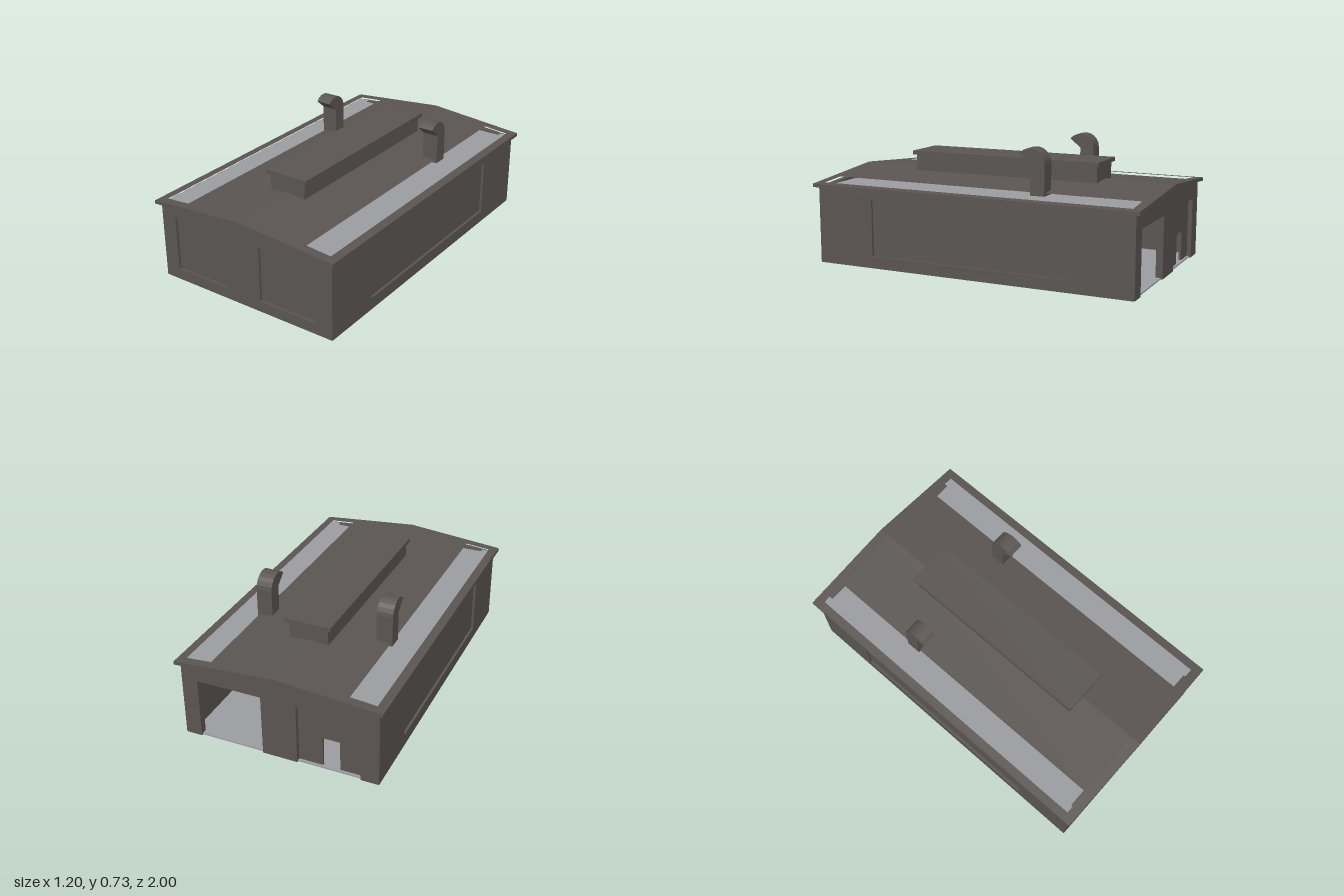
import * as THREE from 'three';

const shell = new THREE.MeshStandardMaterial({ color: 0x5a5552 });
shell.name = 'brown grey cladding';
const pale = new THREE.MeshStandardMaterial({ color: 0x9a9ca0 });
pale.name = 'pale grey';

const T = 0.04;               // wall thickness
const HX = 0.575, HZ = 0.967; // outer half sizes of the walls

function rect(path, x0, x1, y0, y1) {
  path.moveTo(x0, y0);
  path.lineTo(x1, y0);
  path.lineTo(x1, y1);
  path.lineTo(x0, y1);
  path.closePath();
  return path;
}

const extrude = (shape, depth) =>
  new THREE.ExtrudeGeometry(shape, { depth, bevelEnabled: false });

export function createModel() {
  const group = new THREE.Group();
  const add = (name, geometry, material, x = 0, y = 0, z = 0) => {
    const mesh = new THREE.Mesh(geometry, material);
    mesh.name = name;
    mesh.position.set(x, y, z);
    group.add(mesh);
    return mesh;
  };
  const box = (name, mat, x0, x1, y0, y1, z0, z1) =>
    add(name, new THREE.BoxGeometry(x1 - x0, y1 - y0, z1 - z0), mat,
      (x0 + x1) / 2, (y0 + y1) / 2, (z0 + z1) / 2);

  // Floor and flat ceiling, the ceiling showing through the roof lights
  box('floor', pale, -HX + 0.01, HX - 0.01, 0, 0.008, -HZ + 0.01, HZ - 0.01);
  box('ceiling', pale, -0.565, 0.565, 0.452, 0.458, -0.955, 0.955);

  // Front gable wall with two recessed panels
  const front = new THREE.Shape([[-HX, 0], [HX, 0], [HX, 0.452], [0, 0.5], [-HX, 0.452]]
    .map(p => new THREE.Vector2(...p)));
  for (const [a, b] of [[-0.48, -0.115], [0.105, 0.47]]) {
    front.holes.push(rect(new THREE.Path(), a, b, 0.065, 0.39));
    box('frontPanel', shell, a, b, 0.065, 0.39, HZ - T, HZ - 0.015);
  }
  add('frontWall', extrude(front, T), shell, 0, 0, HZ - T);

  // Back gable wall with an open gateway and a recessed bay
  const back = new THREE.Shape([
    [-HX, 0], [-0.47, 0], [-0.47, 0.36], [-0.105, 0.36], [-0.105, 0],
    [0.1, 0], [0.1, 0.36], [0.48, 0.36], [0.48, 0], [HX, 0],
    [HX, 0.452], [0, 0.5], [-HX, 0.452],
  ].map(p => new THREE.Vector2(...p)));
  add('backWall', extrude(back, T), shell, 0, 0, -HZ);

  // Bay infill with a small doorway
  const bay = new THREE.Shape([
    [-0.47, 0], [-0.345, 0], [-0.345, 0.185], [-0.245, 0.185],
    [-0.245, 0], [-0.105, 0], [-0.105, 0.36], [-0.47, 0.36],
  ].map(p => new THREE.Vector2(...p)));
  add('backBay', extrude(bay, 0.015), shell, 0, 0, -HZ + 0.025);

  // Long side walls with one recessed panel each
  for (const s of [1, -1]) {
    const side = rect(new THREE.Shape(), -HZ + T, HZ - T, 0, 0.452);
    side.holes.push(rect(new THREE.Path(), -0.61, 0.61, 0.07, 0.395));
    const x0 = s > 0 ? HX - T : -HX;
    add('sideWall', extrude(side, T), shell, x0).rotation.y = Math.PI / 2;
    const px = s * (HX - 0.0275);
    box('sidePanel', shell, px - 0.0125, px + 0.0125, 0.07, 0.395, -0.61, 0.61);
  }

  add('roof', roofGeometry(), shell);

  // Raised ridge vent
  box('ridgeVent', shell, -0.115, 0.115, 0.49, 0.607, -0.58, 0.58);
  box('ridgeVentCap', shell, -0.135, 0.135, 0.607, 0.63, -0.595, 0.595);

  // Hooded ducts: straight stem and faceted bend facing the front
  const duct = new THREE.Shape();
  const cx = 0.308, cy = 0.645, r = 0.084;
  duct.moveTo(cx, 0.47);
  duct.lineTo(cx + r, 0.47);
  for (let i = 0; i <= 8; i++) {
    const a = (i / 8) * THREE.MathUtils.degToRad(140);
    duct.lineTo(cx + r * Math.cos(a), cy + r * Math.sin(a));
  }
  duct.lineTo(cx, cy);
  duct.closePath();
  for (const x of [-0.41, 0.32]) {
    add('roofDuct', extrude(duct, 0.094), shell, x).rotation.y = Math.PI / 2;
  }
  return group;
}

// Shallow gable roof skin with a long opening in each slope
function roofGeometry() {
  const pos = [];
  const top = x => 0.52 - 0.05 * x / 0.6;
  const low = x => top(x) - 0.02;
  const end = x => 1 - 0.013 * x;
  const quad = (flip, a, b, c, d) => {
    const order = flip ? [a, c, b, a, d, c] : [a, b, c, a, c, d];
    for (const p of order) pos.push(...p);
  };
  for (const s of [1, -1]) {
    const flip = s < 0;
    const xs = [0, 0.4, 0.55, 0.6];
    const zAt = (j, x) => [-end(x), -0.94, 0.94, end(x)][j];
    const P = (x, y, z) => [s * x, y, z];
    // Upper slope
    for (let i = 0; i < 3; i++) for (let j = 0; j < 3; j++) {
      if (i === 1 && j === 1) continue;
      const [a, b] = [xs[i], xs[i + 1]];
      quad(flip, P(a, top(a), zAt(j, a)), P(a, top(a), zAt(j + 1, a)),
        P(b, top(b), zAt(j + 1, b)), P(b, top(b), zAt(j, b)));
    }
    // Eave fascia and soffit
    const e = 0.6, k = 0.56, ze = end(e);
    quad(flip, P(e, low(e), ze), P(e, low(e), -ze), P(e, top(e), -ze), P(e, top(e), ze));
    quad(flip, P(k, low(k), -ze), P(e, low(e), -ze), P(e, low(e), ze), P(k, low(k), ze));
    // Gable fascias and soffits
    for (const t of [1, -1]) {
      const f = t > 0 ? flip : !flip;
      quad(f, P(0, low(0), t), P(e, low(e), t * ze), P(e, top(e), t * ze), P(0, top(0), t));
      quad(f, P(0, low(0), t * 0.95), P(e, low(e), t * 0.95), P(e, low(e), t * ze), P(0, low(0), t));
    }
  }
  const g = new THREE.BufferGeometry();
  g.setAttribute('position', new THREE.Float32BufferAttribute(pos, 3));
  g.computeVertexNormals();
  return g;
}
